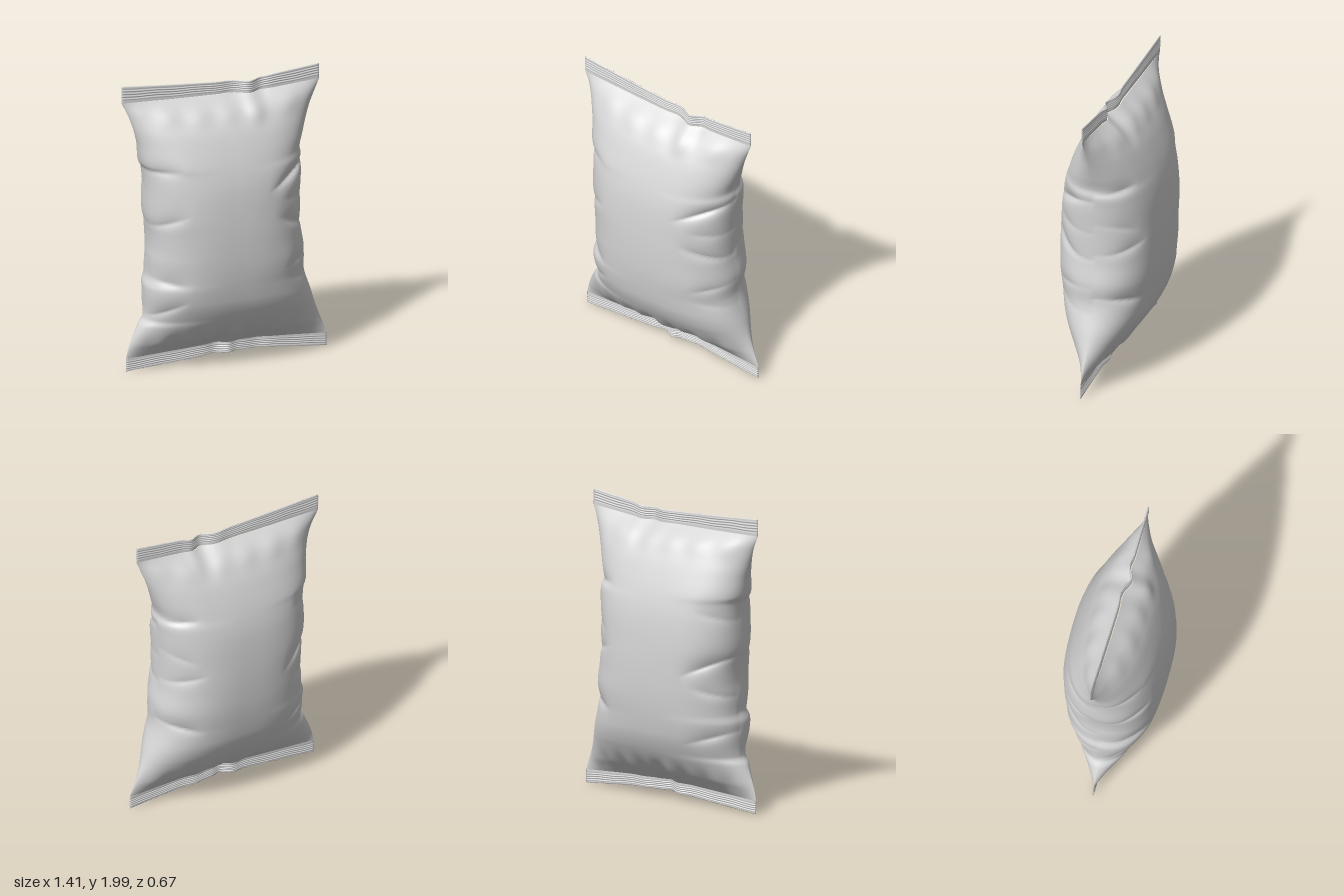
import * as THREE from 'three';

const foil = new THREE.MeshStandardMaterial({ color: 0xd6d6d6 });
foil.name = 'silver foil';

// Outline tables: [height, value]
const leftEdge = [[0.1, -0.685], [0.2, -0.66], [0.33, -0.6], [0.37, -0.565], [0.6, -0.565], [0.66, -0.545], [0.8, -0.54],
  [0.88, -0.535], [0.98, -0.54], [1.1, -0.56], [1.3, -0.56], [1.42, -0.57], [1.46, -0.59], [1.6, -0.61], [1.77, -0.66], [1.88, -0.71]];
const rightEdge = [[0.1, 0.705], [0.3, 0.63], [0.4, 0.595], [0.6, 0.53], [0.75, 0.53], [0.9, 0.505], [1.1, 0.5],
  [1.33, 0.51], [1.41, 0.515], [1.46, 0.505], [1.55, 0.53], [1.7, 0.58], [1.88, 0.65]];
const halfDepth = [[0.1, 0.01], [0.15, 0.068], [0.2, 0.125], [0.3, 0.202], [0.4, 0.256], [0.5, 0.29], [0.7, 0.323], [0.9, 0.335],
  [1.1, 0.333], [1.3, 0.317], [1.45, 0.285], [1.6, 0.232], [1.7, 0.184], [1.8, 0.115], [1.88, 0.01]];
// Seal lines: [x, height]
const topInner = [[-0.71, 1.88], [-0.3, 1.868], [0, 1.863], [0.18, 1.855], [0.3, 1.862], [0.65, 1.89]];
const topOuter = [[-0.71, 1.996], [-0.4, 1.972], [0, 1.947], [0.2, 1.942], [0.35, 1.962], [0.65, 1.996]];
const botInner = [[-0.685, 0.095], [-0.3, 0.118], [0, 0.132], [0.3, 0.128], [0.705, 0.1]];
const botOuter = [[-0.685, 0.006], [-0.3, 0.035], [0, 0.055], [0.3, 0.05], [0.705, 0.01]];

// Side folds: [side, face, height, strength, spread, tilt, reach]
const folds = [
  [1, 1, 1.37, 0.22, 0.05, -0.2, 0.4], [1, 1, 1.13, 0.08, 0.06, 0.15, 0.6], [1, 1, 0.93, 0.15, 0.05, 0.3, 0.5],
  [1, 1, 0.73, 0.1, 0.06, -0.1, 0.6], [1, 1, 0.55, 0.06, 0.06, 0.2, 0.65],
  [1, -1, 1.43, 0.13, 0.04, 0.1, 0.6], [1, -1, 1.2, 0.07, 0.06, -0.2, 0.65], [1, -1, 0.97, 0.1, 0.05, 0.2, 0.55],
  [1, -1, 0.66, 0.14, 0.05, -0.15, 0.55],
  [-1, 1, 1.43, 0.13, 0.05, 0.05, 0.55], [-1, 1, 1.04, 0.13, 0.06, 0.25, 0.55], [-1, 1, 0.67, 0.13, 0.06, -0.1, 0.55],
  [-1, 1, 0.4, 0.12, 0.05, 0.3, 0.55],
  [-1, -1, 1.3, 0.08, 0.06, 0.2, 0.6], [-1, -1, 1.05, 0.14, 0.06, -0.25, 0.45], [-1, -1, 0.78, 0.1, 0.05, 0.2, 0.6],
  [-1, -1, 0.55, 0.13, 0.06, -0.2, 0.45],
];

// Smooth curve through a table of pairs
function lookup(table, k) {
  const n = table.length - 1;
  const s = Math.min(Math.max(k, table[0][0]), table[n][0]);
  let i = 0;
  while (i < n - 1 && s > table[i + 1][0]) i++;
  const slope = (j) => {
    const a = table[Math.max(j - 1, 0)], b = table[Math.min(j + 1, n)];
    return (b[1] - a[1]) / (b[0] - a[0]);
  };
  const [a, va] = table[i], [b, vb] = table[i + 1];
  const w = b - a, t = (s - a) / w, t2 = t * t, t3 = t2 * t;
  return va * (2 * t3 - 3 * t2 + 1) + vb * (3 * t2 - 2 * t3) + w * (slope(i) * (t3 - 2 * t2 + t) + slope(i + 1) * (t3 - t2));
}
const { lerp, smoothstep } = THREE.MathUtils;
const bump = (x, c, w) => Math.exp(-(((x - c) / w) ** 2));

// Sideways waviness of each seal
const topWave = (x) => 0.027 * x - 0.002 + 0.026 * bump(x, 0.16, 0.05) - 0.01 * bump(x, 0.04, 0.06) - 0.01 * bump(x, 0.25, 0.04);
const botWave = (x) => 0.01 * x + 0.022 * bump(x, 0.02, 0.04) - 0.016 * bump(x, -0.07, 0.05) - 0.012 * bump(x, 0.22, 0.06);

// Skin of stacked closed rings; place(angle, v) returns [x, y, z]
function loft(name, cols, rows, place) {
  const pos = [], index = [];
  for (let j = 0; j <= rows; j++)
    for (let i = 0; i < cols; i++) pos.push(...place(i / cols * Math.PI * 2, j / rows));
  for (let j = 0; j < rows; j++)
    for (let i = 0; i < cols; i++) {
      const a = j * cols + i, b = j * cols + (i + 1) % cols;
      index.push(b, a, a + cols, b, a + cols, b + cols);
    }
  const geo = new THREE.BufferGeometry();
  geo.setAttribute('position', new THREE.Float32BufferAttribute(pos, 3));
  geo.setIndex(index);
  geo.computeVertexNormals();
  const mesh = new THREE.Mesh(geo, foil);
  mesh.name = name;
  return mesh;
}

// Puffed pillow: full in the middle, pinched flat at both seals
function pillowPoint(angle, v) {
  const h = lerp(0.1, 1.88, v);
  const u = Math.cos(angle), face = Math.sin(angle) >= 0 ? 1 : -1, side = u >= 0 ? 1 : -1;
  let x = lerp(lookup(leftEdge, h), lookup(rightEdge, h), (u + 1) / 2);
  const y = lerp(lookup(botInner, x), lookup(topInner, x), v);
  const round = smoothstep(Math.min(v, 1 - v), 0, 0.27);
  const flat = Math.max(0, 1 - Math.abs(u) ** lerp(2.6, 2.7, round));
  let z = lookup(halfDepth, h) * flat ** (1 / lerp(1.3, 2.3, round));
  // Folds deepen towards the side edges, sharp below and soft above
  for (const [s, f, height, amount, spread, tilt, reach] of folds) {
    if (s !== side || f !== face) continue;
    const d = h - height - tilt * (1 - Math.abs(u));
    const dent = amount * smoothstep(Math.abs(u), reach, 0.92) * Math.exp(-Math.abs(d) / (d < 0 ? spread * 0.5 : spread * 1.2));
    z *= 1 - dent;
    x -= side * 0.04 * dent;
  }
  // Gathers running out from the seals
  z *= 1 + 0.06 * bump(v, 0.04, 0.045) * Math.sin(x * 38 + face) + 0.05 * bump(v, 0.96, 0.04) * Math.sin(x * 30 + 2 * face);
  z = face * Math.max(z, 0) + topWave(x) * smoothstep(v, 0.88, 1) + botWave(x) * (1 - smoothstep(v, 0, 0.12));
  return [x, y, z];
}

// Crimped strip with horizontal ribs and a zigzag outer edge
function seal(name, inner, outer, wave, x0, x1, up) {
  return loft(name, 320, 32, (angle, w) => {
    const v = up ? w : 1 - w;
    // Even spacing along x on the front and back
    const t = angle / Math.PI;
    const front = t < 1;
    const x = front ? lerp(x1, x0, t) : lerp(x0, x1, t - 1);
    const zig = Math.abs(((x * 55) % 1 + 1) % 1 - 0.5) * 0.014 - 0.004;
    const out = lookup(outer, x) + (up ? 1 : -1) * zig * v ** 6;
    const y = lerp(lookup(inner, x), out, v) + 0.002 * Math.sin(x * 23) * Math.sin(v * Math.PI);
    const rib = v > 0.2 && v < 0.85 ? Math.sin((v - 0.2) / 0.65 * Math.PI * 8) * 0.0022 : 0;
    const thick = t === 0 || t === 1 || v === 1 ? 0 : 0.004;
    return [x, y, wave(x) * (1 + 0.1 * v) + (front ? 1 : -1) * thick + rib];
  });
}

export function createModel() {
  const bag = new THREE.Group();
  bag.name = 'pillowBag';
  bag.add(loft('pouch', 160, 140, pillowPoint));
  bag.add(seal('topSeal', topInner, topOuter, topWave, -0.71, 0.65, true));
  bag.add(seal('bottomSeal', botInner, botOuter, botWave, -0.685, 0.705, false));
  return bag;
}
